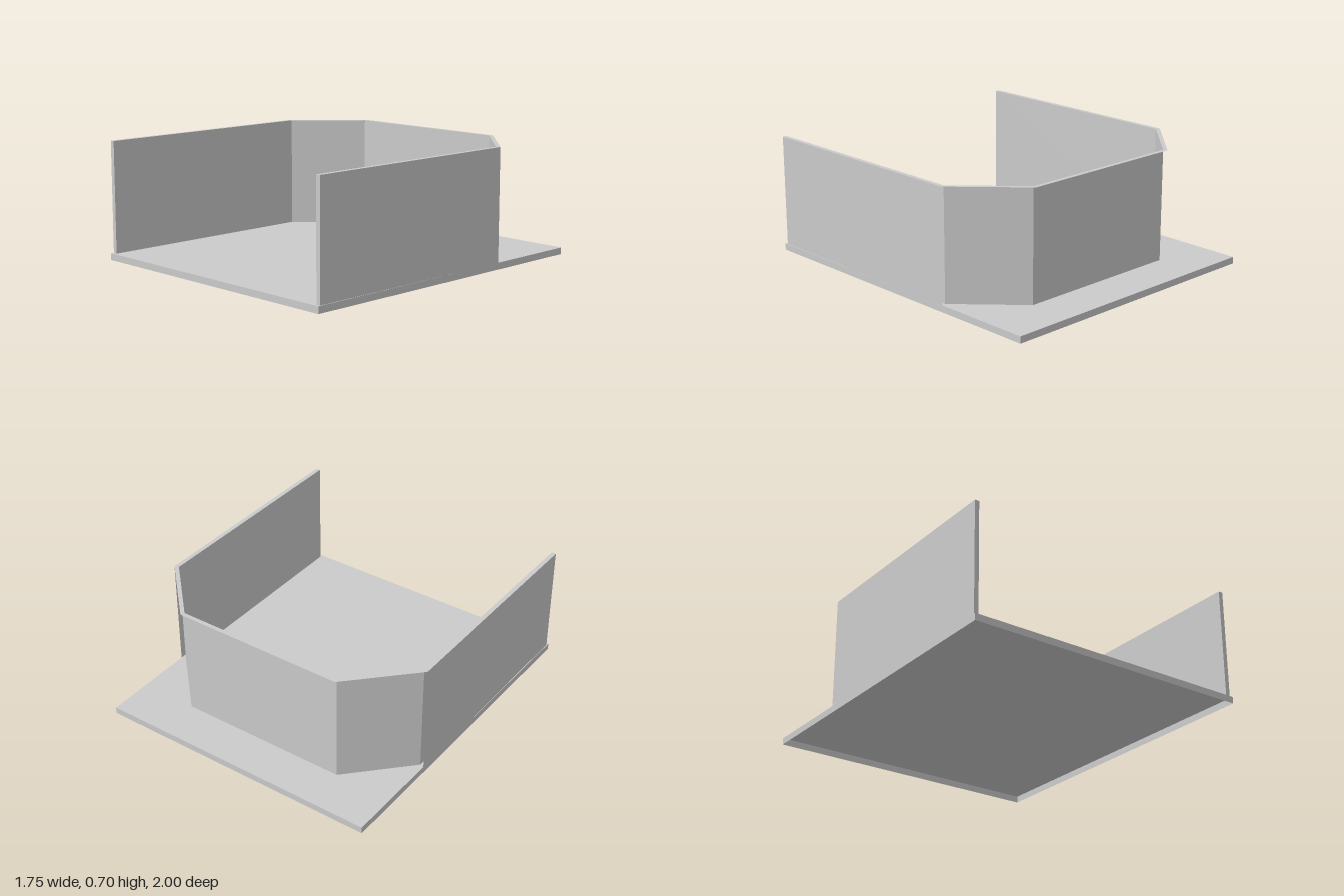
import * as THREE from 'three';

const FLOOR = 0.04, TOP = 0.7;
const material = new THREE.MeshStandardMaterial({ color: 0xcccccc, flatShading: true, side: THREE.DoubleSide });

const mirror = (pts) => pts.map(([x, z]) => [-x, z]);

// Horizontal sheet at height y on an [x, z] outline
function sheet(name, pts, y) {
  const shape = new THREE.Shape(pts.map(([x, z]) => new THREE.Vector2(x, -z)));
  const mesh = new THREE.Mesh(new THREE.ShapeGeometry(shape).rotateX(-Math.PI / 2), material);
  mesh.position.y = y;
  mesh.name = name;
  return mesh;
}

// Thin upright panel between two plan points, from height y0 to y1
function panel(name, [x0, z0], [x1, z1], y0, y1) {
  const geometry = new THREE.PlaneGeometry(Math.hypot(x1 - x0, z1 - z0), y1 - y0);
  geometry.rotateY(-Math.atan2(z1 - z0, x1 - x0));
  geometry.translate((x0 + x1) / 2, (y0 + y1) / 2, (z0 + z1) / 2);
  const mesh = new THREE.Mesh(geometry, material);
  mesh.name = name;
  return mesh;
}

// One panel per name along a run of plan points
function panels(names, pts, y0, y1) {
  const group = new THREE.Group();
  names.forEach((name, i) => group.add(panel(name, pts[i], pts[(i + 1) % pts.length], y0, y1)));
  return group;
}

export function createModel() {
  const model = new THREE.Group();
  model.name = 'walledPlatform';

  // Slightly tapered floor with a shallow skirt, open underneath
  const plan = [[-0.873, 1], [0.873, 1], [0.863, -1], [-0.863, -1]];
  const skirt = panels(['frontSkirt', 'leftSkirt', 'backSkirt', 'rightSkirt'], plan, 0, FLOOR);
  skirt.name = 'skirt';
  model.add(sheet('floor', plan, FLOOR), skirt);

  // Wall plan for the left half: outer skin, front end, inner skin
  const outerSide = [0.867, -0.412], outerFront = [0.868, 0.983];
  const innerFront = [0.841, 0.983], innerSide = [0.841, -0.403], innerBack = [0.515, -0.738];
  const outerBack = [0.523, -0.763];
  const half = [outerSide, outerFront, innerFront, innerSide, innerBack];
  const run = [...half, ...mirror(half).reverse()];

  // Side walls are hollow and open at the back; corners and back are single panels
  const walls = panels([
    'leftOuterWall', 'leftFrontEnd', 'leftInnerWall', 'leftCornerPanel', 'backPanel',
    'rightCornerPanel', 'rightInnerWall', 'rightFrontEnd', 'rightOuterWall',
  ], run, FLOOR, TOP);
  walls.name = 'walls';
  model.add(walls);

  // Flat rim capping the side walls and overhanging the single panels
  model.add(sheet('topRim', [...run, ...mirror([outerBack]), outerBack], TOP));

  return model;
}
